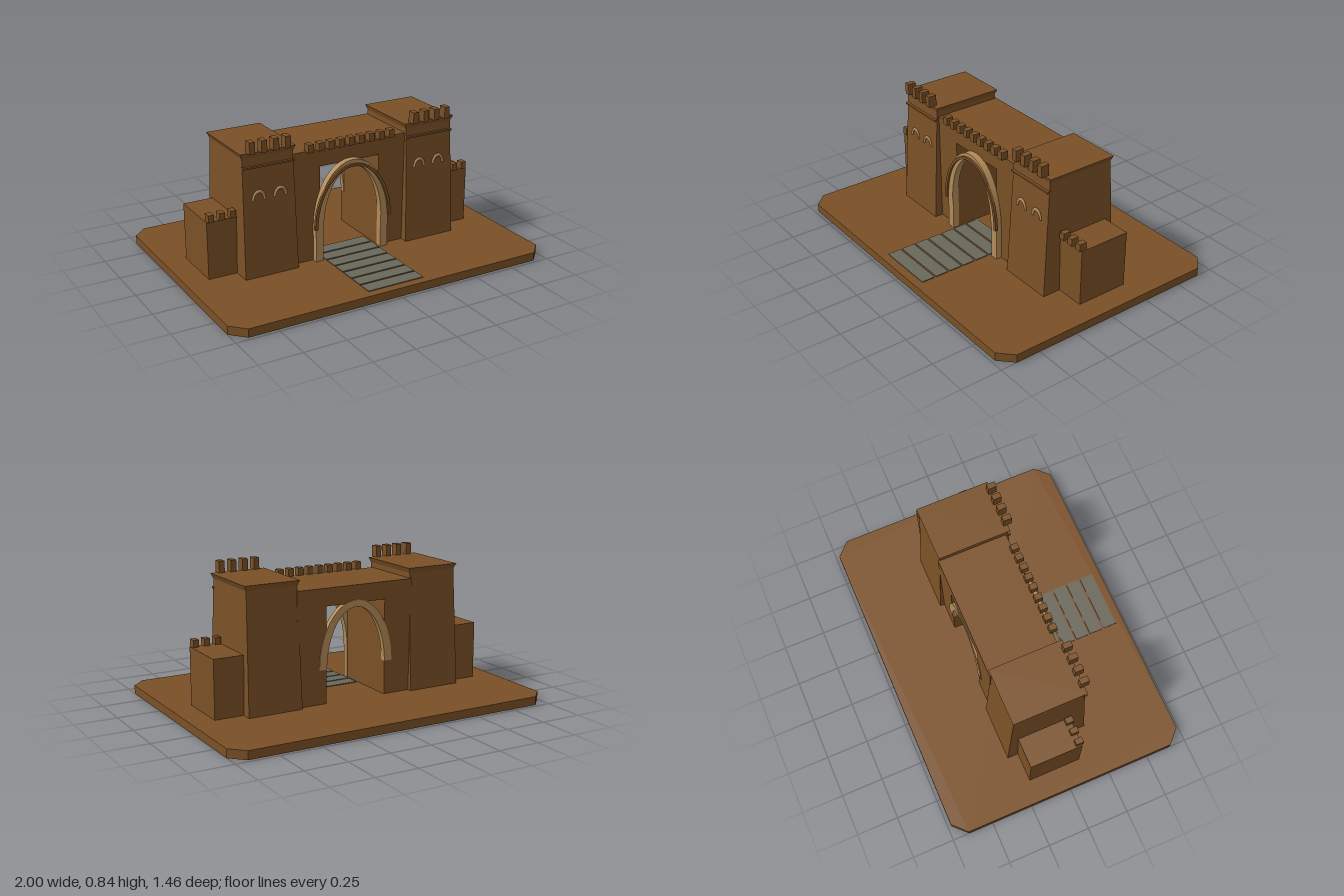
import * as THREE from 'three';

const material = (name, color) => {
  const m = new THREE.MeshStandardMaterial({ color });
  m.name = name;
  return m;
};

export function createModel() {
  const root = new THREE.Group();
  root.name = 'gatehouse';
  const clay = material('brown clay', 0x7a5026);
  const tan = material('tan stone', 0xb48b58);
  const grey = material('grey paving', 0x6a685a);

  const add = (name, geometry, mat, parent = root) => {
    const mesh = new THREE.Mesh(geometry, mat);
    mesh.name = name;
    parent.add(mesh);
    return mesh;
  };

  // Box given by its limits on each axis
  const block = (name, [x0, x1], [y0, y1], [z0, z1], mat, parent) => {
    const g = new THREE.BoxGeometry(x1 - x0, y1 - y0, z1 - z0);
    g.translate((x0 + x1) / 2, (y0 + y1) / 2, (z0 + z1) / 2);
    return add(name, g, mat, parent);
  };

  // Box whose top rectangle differs from its bottom one: [x0, x1, z0, z1]
  const taper = (name, [y0, y1], bottom, top, mat, parent) => {
    const g = new THREE.BoxGeometry(1, 1, 1);
    const p = g.attributes.position;
    for (let i = 0; i < p.count; i++) {
      const r = p.getY(i) > 0 ? top : bottom;
      p.setXYZ(i, p.getX(i) > 0 ? r[1] : r[0], p.getY(i) > 0 ? y1 : y0, p.getZ(i) > 0 ? r[3] : r[2]);
    }
    g.computeVertexNormals();
    return add(name, g, mat, parent);
  };

  // Half-elliptical ring standing on y = 0.25
  const archRing = (name, [ax, ay], [bx, by], [z0, z1], mat) => {
    const s = new THREE.Shape();
    s.absellipse(0, 0, ax, ay, 0, Math.PI, false);
    s.lineTo(-bx, 0);
    s.absellipse(0, 0, bx, by, Math.PI, 0, true);
    s.closePath();
    const g = new THREE.ExtrudeGeometry(s, { depth: z1 - z0, bevelEnabled: false, curveSegments: 24 });
    g.translate(0, 0.25, z0);
    return add(name, g, mat);
  };

  // Base slab with clipped corners
  const w = 1, d = 0.73, c = 0.08;
  const outline = new THREE.Shape([
    [-w + c, -d], [w - c, -d], [w, -d + c], [w, d - c],
    [w - c, d], [-w + c, d], [-w, d - c], [-w, -d + c],
  ].map(([x, y]) => new THREE.Vector2(x, y)));
  const slab = new THREE.ExtrudeGeometry(outline, { depth: 0.05, bevelEnabled: false });
  slab.rotateX(-Math.PI / 2);
  add('base', slab, clay);

  // Paving slabs leading through the gate
  for (let i = 0; i < 7; i++) {
    const z = 0.68 - i * 0.0925;
    block('pavingSlab', [-0.177, 0.177], [0.048, 0.055], [z - 0.082, z], grey);
  }

  // Lintel and its battlements
  block('lintel', [-0.375, 0.375], [0.612, 0.715], [-0.243, 0.175], clay);
  for (let i = -4; i <= 4; i++) {
    const x = i * 0.0655;
    block('lintelMerlon', [x - 0.018, x + 0.018], [0.712, 0.76], [0.16, 0.204], clay);
  }

  // Arches, front and back
  archRing('frontArch', [0.238, 0.38], [0.19, 0.34], [0.172, 0.213], tan);
  archRing('frontArchMoulding', [0.25, 0.357], [0.232, 0.342], [0.208, 0.225], clay);
  archRing('backArch', [0.238, 0.38], [0.19, 0.34], [-0.248, -0.215], tan);

  // Mirrored halves
  for (const side of [1, -1]) {
    const half = new THREE.Group();
    half.name = side > 0 ? 'leftHalf' : 'rightHalf';
    root.add(half);
    const mx = (a, b) => (side > 0 ? [a, b] : [-b, -a]);
    const rect = (a, b, z0, z1) => [...mx(a, b), z0, z1];

    // Gate pier and arch leg
    block('gatePier', mx(0.192, 0.375), [0.05, 0.612], [-0.243, 0.175], clay, half);
    block('archLeg', mx(0.19, 0.238), [0.05, 0.25], [0.17, 0.21], tan, half);

    // Battered tower with cornice
    taper('tower', [0.05, 0.745], rect(0.36, 0.69, -0.27, 0.226), rect(0.368, 0.676, -0.232, 0.188), clay, half);
    taper('cornice', [0.745, 0.775], rect(0.368, 0.676, -0.232, 0.188), rect(0.355, 0.69, -0.242, 0.197), clay, half);
    block('towerStringCourse', mx(0.366, 0.679), [0.687, 0.697], [0.18, 0.206], clay, half);
    for (let i = 0; i < 4; i++) {
      const x = 0.413 + i * 0.072;
      block('towerMerlon', mx(x - 0.017, x + 0.017), [0.774, 0.842], [0.172, 0.223], clay, half);
    }

    // Small arched window hoods
    for (const x of [0.456, 0.587]) {
      const g = new THREE.TorusGeometry(0.035, 0.0075, 6, 16, Math.PI);
      g.scale(1, 1.35, 1);
      g.translate(side * x, 0.502, 0.203);
      add('windowHood', g, tan, half);
    }

    // Low side wing with battlements
    block('wing', mx(0.685, 0.863), [0.05, 0.39], [-0.205, 0.114], clay, half);
    for (let i = 0; i < 3; i++) {
      const x = 0.706 + i * 0.066;
      block('wingMerlon', mx(x - 0.017, x + 0.017), [0.389, 0.432], [0.077, 0.123], clay, half);
    }
  }
  return root;
}
